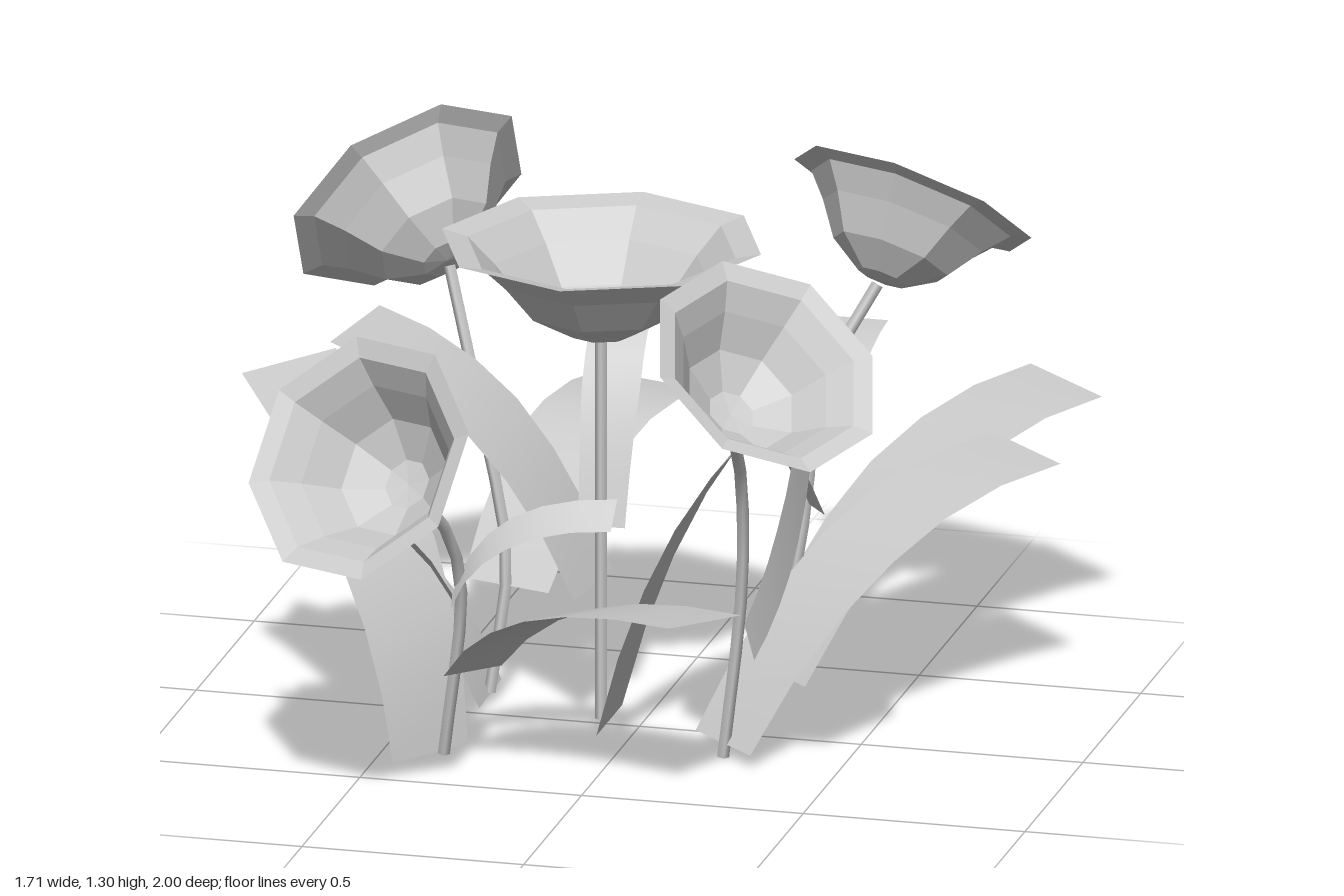
import * as THREE from 'three';

const V = (a) => new THREE.Vector3(...a);

export function createModel() {
  const model = new THREE.Group();
  const facetMat = new THREE.MeshStandardMaterial({ color: 0xcccccc, flatShading: true, side: THREE.DoubleSide });
  const leafMat = new THREE.MeshStandardMaterial({ color: 0xcccccc, side: THREE.DoubleSide });

  const add = (geometry, material, name) => {
    const mesh = new THREE.Mesh(geometry, material);
    mesh.name = name;
    model.add(mesh);
    return mesh;
  };

  // Eight-sided bloom: rim centre, facing direction, rim radius, depth as a share of the radius
  function bloom(centre, facing, radius, depth) {
    const profile = [[0, 1], [0.2, 0.97], [0.48, 0.71], [0.67, 0.33], [0.84, 0.06], [1, 0]]
      .map(([r, d]) => new THREE.Vector2(r * radius, -d * depth * radius));
    const mesh = add(new THREE.LatheGeometry(profile, 8), facetMat, 'bloom');
    mesh.position.copy(V(centre));
    mesh.quaternion.setFromUnitVectors(new THREE.Vector3(0, 1, 0), V(facing).normalize());
  }

  // Thin stem through a few points
  function stem(points) {
    const path = new THREE.CatmullRomCurve3(points.map(V));
    add(new THREE.TubeGeometry(path, 8, 0.014, 5), leafMat, 'stem');
  }

  // Curved strip from base to tip, narrower at the base. Lean and rise place the bend;
  // across is the half-width direction, level and square to the leaf unless given
  function leaf(name, base, tip, width, lean, rise, across) {
    const a = V(base), c = V(tip);
    const bend = new THREE.Vector3().lerpVectors(a, c, lean);
    bend.y = a.y + (c.y - a.y) * rise;
    const curve = new THREE.QuadraticBezierCurve3(a, bend, c);
    const side = across ? V(across) : new THREE.Vector3(c.z - a.z, 0, a.x - c.x);
    side.setLength(width / 2);
    const steps = 6, pos = [], index = [];
    for (let i = 0; i <= steps; i++) {
      const p = curve.getPoint(i / steps);
      const half = side.clone().multiplyScalar(Math.min(1, 0.8 + 0.4 * i / steps));
      pos.push(...p.clone().sub(half).toArray(), ...p.add(half).toArray());
      const k = i * 2;
      if (i < steps) index.push(k, k + 1, k + 2, k + 1, k + 3, k + 2);
    }
    const geo = new THREE.BufferGeometry();
    geo.setAttribute('position', new THREE.Float32BufferAttribute(pos, 3));
    geo.setIndex(index);
    geo.computeVertexNormals();
    add(geo, leafMat, name);
  }

  // Blooms: one upright in the middle, four leaning outwards
  bloom([-0.07, 1.125, 0.06], [0, 1, 0], 0.36, 0.6);
  bloom([-0.62, 1.05, -0.37], [-0.61, 0.5, -0.61], 0.288, 0.7);
  bloom([0.465, 1.065, -0.58], [0.22, 0.8, -0.56], 0.28, 0.7);
  bloom([0.43, 1.035, 0.55], [0.53, 0.74, 0.41], 0.275, 0.7);
  bloom([-0.415, 0.845, 0.835], [-0.33, 0.51, 0.78], 0.282, 0.74);

  // Stems
  stem([[-0.07, 0.91, 0.06], [-0.07, 0.47, 0.06], [-0.07, 0.03, 0.06]]);
  stem([[-0.49, 0.94, -0.24], [-0.39, 0.61, -0.15], [-0.33, 0.32, -0.12], [-0.36, 0.02, -0.09]]);
  stem([[0.415, 0.9, -0.465], [0.31, 0.68, -0.38], [0.28, 0.4, -0.36], [0.22, 0.03, -0.34]]);
  stem([[0.325, 0.88, 0.465], [0.3, 0.67, 0.27], [0.28, 0.4, 0.19], [0.23, 0, 0.16]]);
  stem([[-0.345, 0.735, 0.67], [-0.3, 0.59, 0.52], [-0.29, 0.43, 0.43], [-0.35, 0.02, 0.35]]);

  // Broad leaves
  [
    [[-0.05, 0.03, 0.07], [0.41, 0.855, 0.07], 0.28, 0.3, 0.7],
    [[-0.09, 0.33, 0.05], [-0.65, 0.86, -0.03], 0.28, 0.35, 0.85],
    [[-0.33, 0.26, -0.11], [-0.155, 0.555, -0.71], 0.27, 0.4, 1.25],
    [[-0.36, 0.015, -0.09], [-0.85, 0.545, -0.08], 0.26, 0.2, 0.5],
    [[0.22, 0.03, -0.34], [0.725, 0.565, -0.91], 0.28, 0.4, 0.95],
    [[0.23, 0.03, 0.16], [0.76, 0.565, -0.43], 0.27, 0.4, 0.95],
    [[-0.38, 0.015, 0.35], [-0.77, 0.8, 0.08], 0.27, 0.1, 0.6],
    [[-0.28, 0.22, 0.37], [0.29, 0.435, 0.545], 0.27, 0.25, 1.05, [-0.05, 0.02, 0.125]],
    [[0.3, 0.28, 0.2], [0.455, 0.78, 0.32], 0.18, 0.75, 0.45, [0.035, -0.025, 0.08]],
  ].forEach((l) => leaf('broadLeaf', ...l));

  // Small leaves higher on the stems
  [
    [[-0.07, 0.47, 0.06], [-0.08, 0.885, -0.16], 0.13, 0.4, 0.9],
    [[0.31, 0.42, -0.33], [0.06, 0.73, -0.13], 0.13, 0.35, 0.92],
    [[0.3, 0.58, -0.38], [0.3, 0.73, -0.73], 0.14, 0.4, 0.95],
    [[-0.3, 0.42, 0.46], [0.06, 0.63, 0.45], 0.08, 0.2, 0.95, [0, 0.03, -0.03]],
    [[-0.3, 0.42, 0.47], [-0.71, 0.66, 0.53], 0.08, 0.3, 1, [0.01, 0.02, 0.035]],
  ].forEach((l) => leaf('smallLeaf', ...l));

  return model;
}
